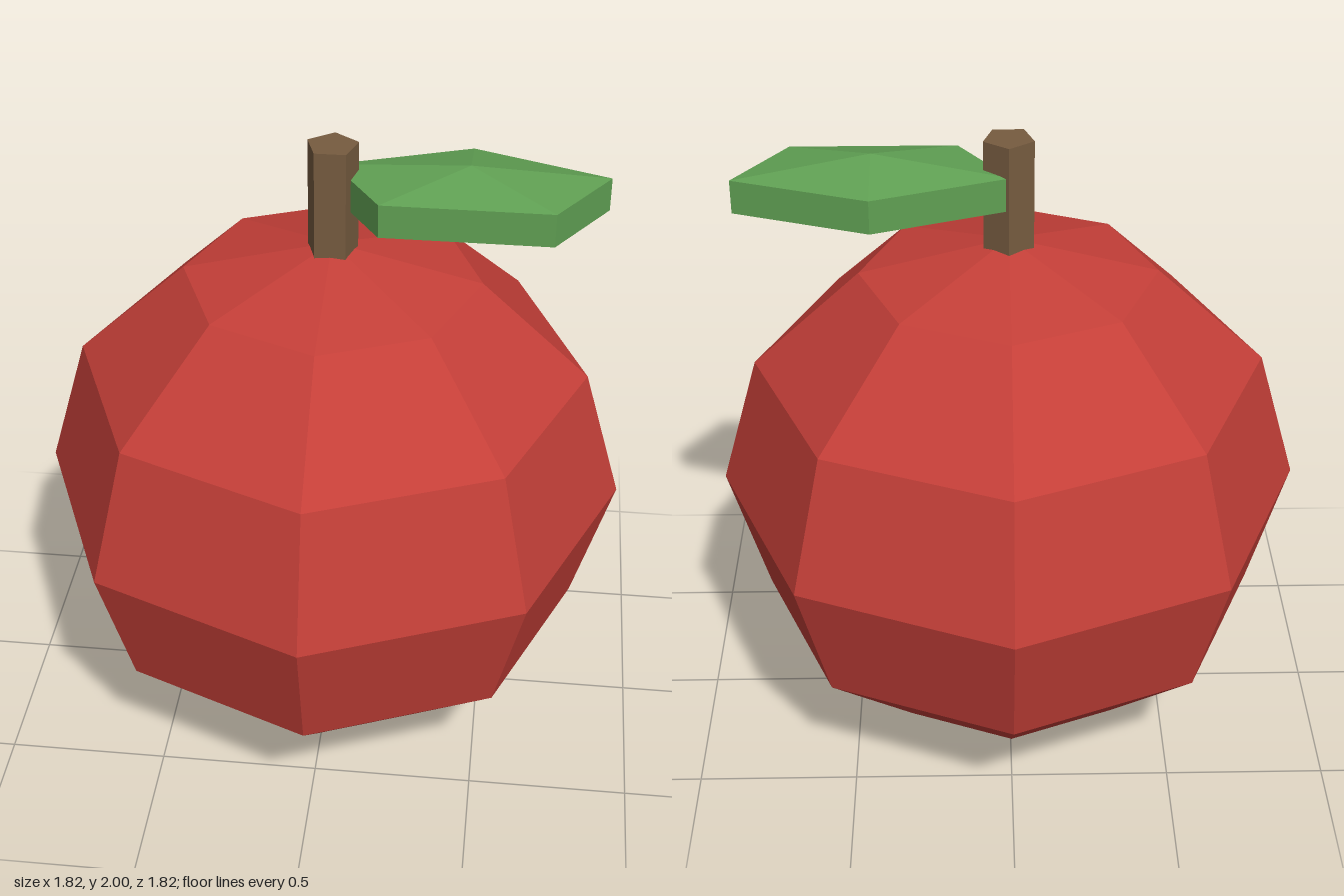
import * as THREE from 'three';

function flatMaterial(name, color) {
  const material = new THREE.MeshStandardMaterial({ color });
  material.name = name;
  return material;
}

// Faceted mesh: separate every triangle so each face keeps its own normal
function facetedMesh(name, geometry, material) {
  const flat = geometry.toNonIndexed();
  flat.computeVertexNormals();
  const mesh = new THREE.Mesh(flat, material);
  mesh.name = name;
  return mesh;
}

export function createModel() {
  const model = new THREE.Group();
  model.name = 'fruit';

  const red = flatMaterial('fruit red', 0xc43f38);
  const brown = flatMaterial('stem brown', 0x775c40);
  const green = flatMaterial('leaf green', 0x60a053);

  // Slightly squashed eight-sided fruit
  const bodyShape = new THREE.SphereGeometry(1, 8, 6).scale(0.908, 0.838, 0.908);
  const body = facetedMesh('fruitBody', bodyShape, red);
  body.position.y = 0.84;

  // Five-sided stem, one corner to the back
  const stemShape = new THREE.CylinderGeometry(0.079, 0.079, 0.4, 5).rotateY(Math.PI);
  const stem = facetedMesh('stem', stemShape, brown);
  stem.position.y = 1.8;

  // Flat five-cornered leaf with shallow points above and below
  const leafShape = new THREE.SphereGeometry(1, 5, 3)
    .rotateY(-Math.PI / 2)
    .scale(0.495, 0.104, 0.247);
  const leaf = facetedMesh('leaf', leafShape, green);
  leaf.position.set(0.402, 1.851, 0);

  model.add(body, stem, leaf);
  return model;
}
